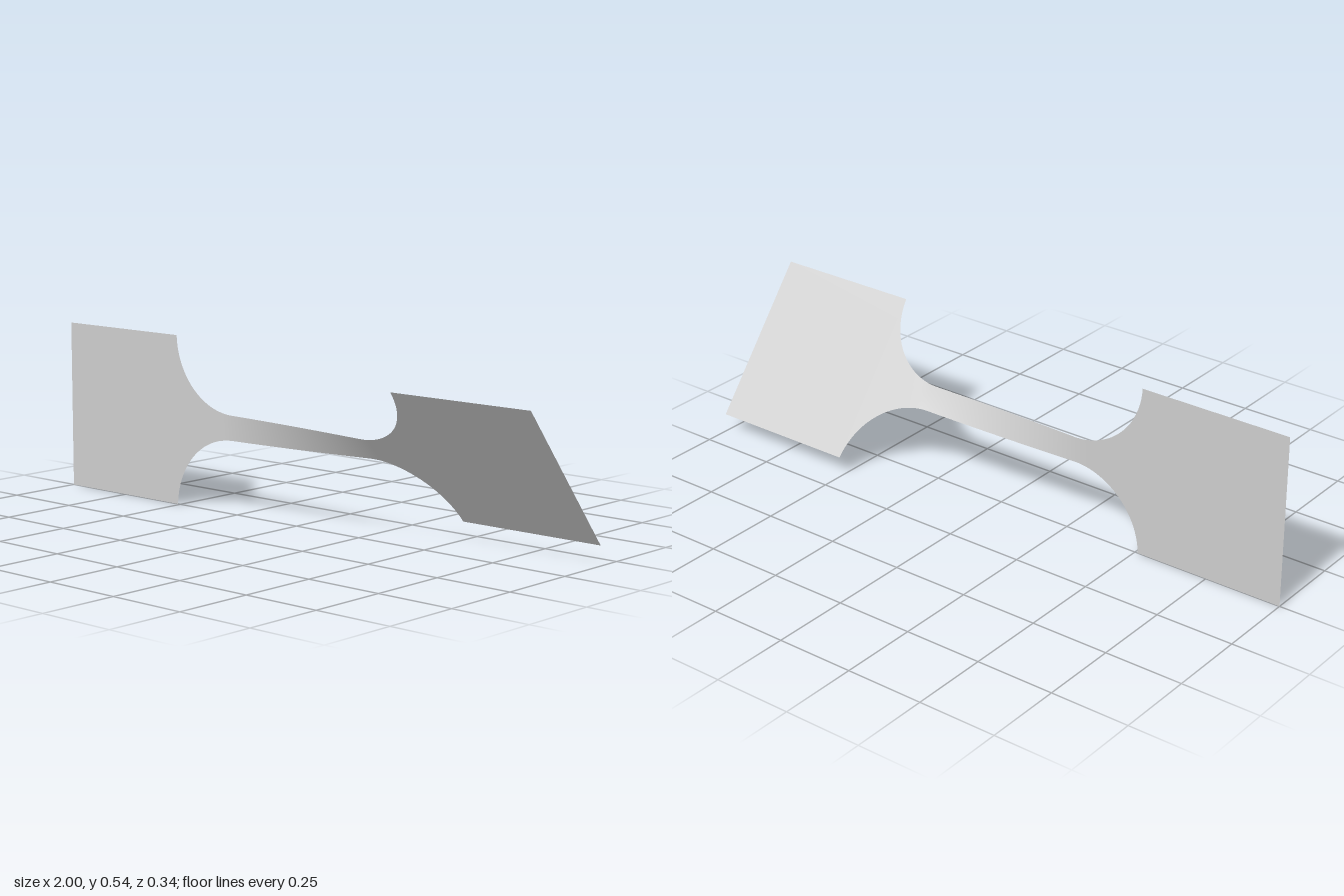
import * as THREE from 'three';

const HALF = 0.271;      // half width of the end tabs
const NECK = 0.04;       // half width of the narrow strip
const RADIUS = 0.24;     // fillet between tab and strip
const NECK_X = 0.27;     // where the strip meets the fillets
const TWIST_X = 0.31;    // the twist runs from -TWIST_X to TWIST_X
const TWIST = THREE.MathUtils.degToRad(38.7);

// Stations [x, half width] along the sheet, from the left edge to the right
function outline() {
  const left = [[-1, HALF]];
  const steps = 32;
  const start = Math.asin((NECK + RADIUS - HALF) / RADIUS);
  for (let i = 0; i <= steps; i++) {
    const a = start + (Math.PI / 2 - start) * i / steps;
    left.push([-NECK_X - RADIUS * Math.cos(a), NECK + RADIUS * (1 - Math.sin(a))]);
  }
  const strip = [];
  for (let i = 1; i < 40; i++) strip.push([-NECK_X + 2 * NECK_X * i / 40, NECK]);
  const right = left.map(([x, h]) => [-x, h]).reverse();
  return [...left, ...strip, ...right];
}

// Flat sheet turned about its long axis, as a grid of cross-sections
function twistedSheet() {
  const across = 8, positions = [], indices = [];
  const stations = outline();
  stations.forEach(([x, h], i) => {
    const t = THREE.MathUtils.clamp((x + TWIST_X) / (2 * TWIST_X), 0, 1);
    const angle = TWIST * t;
    for (let j = 0; j <= across; j++) {
      const w = h * (2 * j / across - 1);
      positions.push(x, HALF + w * Math.cos(angle), w * Math.sin(angle));
      if (i && j) {
        const d = i * (across + 1) + j, c = d - 1;
        const b = d - across - 1, a = b - 1;
        indices.push(a, c, d, a, d, b);
      }
    }
  });
  const geometry = new THREE.BufferGeometry();
  geometry.setAttribute('position', new THREE.Float32BufferAttribute(positions, 3));
  geometry.setIndex(indices);
  geometry.computeVertexNormals();
  return geometry;
}

export function createModel() {
  const grey = new THREE.MeshStandardMaterial({ color: 0xcccccc, side: THREE.DoubleSide });
  grey.name = 'light grey';
  const sheet = new THREE.Mesh(twistedSheet(), grey);
  sheet.name = 'twistedTestStrip';
  const group = new THREE.Group();
  group.name = 'twistedSpecimen';
  group.add(sheet);
  return group;
}
